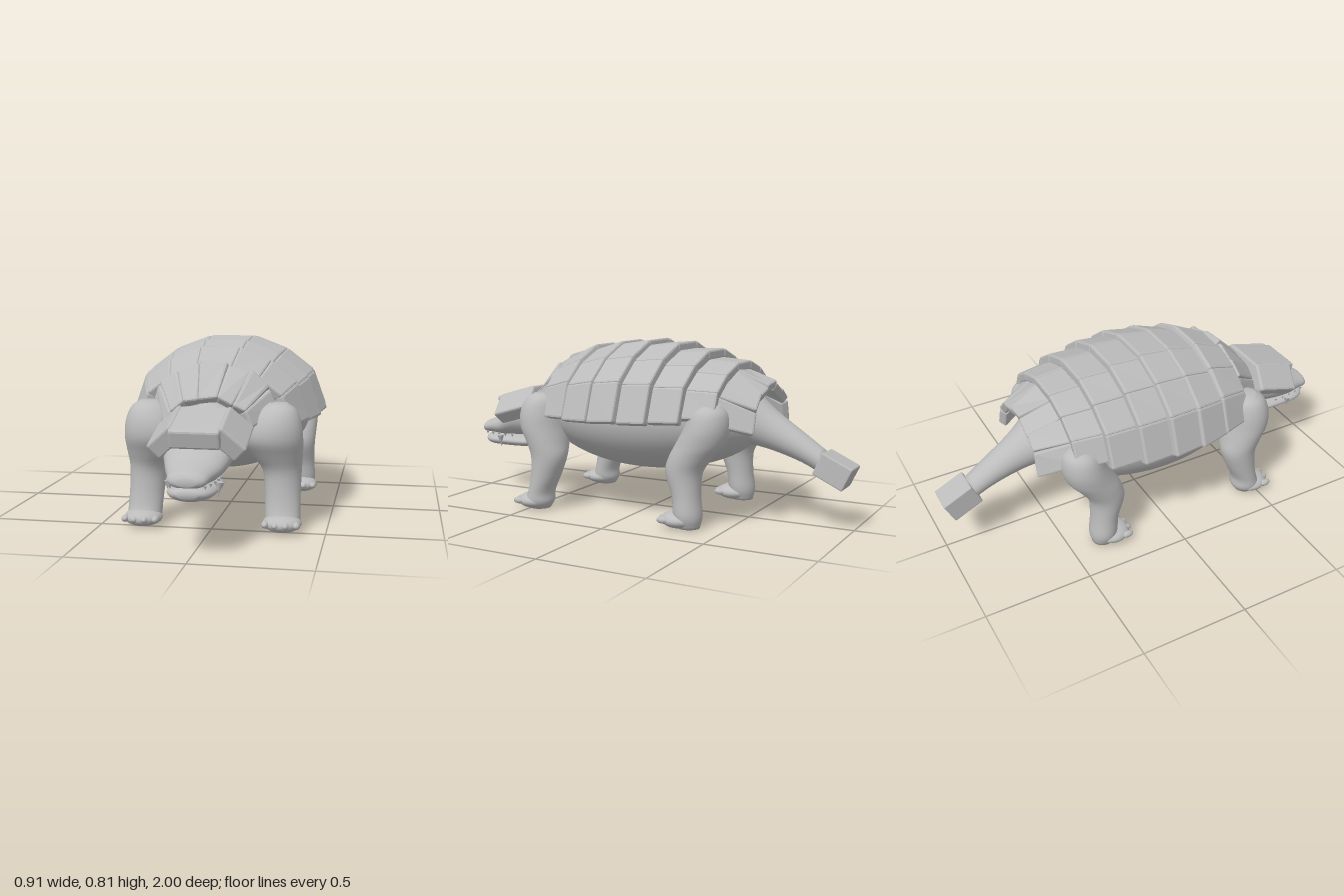
import * as THREE from 'three';
import { RoundedBoxGeometry } from 'three/addons/geometries/RoundedBoxGeometry.js';

const V = (x, y, z) => new THREE.Vector3(x, y, z);
const stone = new THREE.MeshStandardMaterial({ color: 0xbcbcbc });
stone.name = 'stone grey';

function add(parent, name, geometry, x = 0, y = 0, z = 0) {
  const mesh = new THREE.Mesh(geometry, stone);
  mesh.name = name;
  mesh.position.set(x, y, z);
  parent.add(mesh);
  return mesh;
}

// Smooth skin through sections [x, y, z, ra, rb]; axis 'z' runs back to front, 'y' top to bottom.
function loft(sections, axis, floor = null, sides = 28) {
  const steps = (sections.length - 1) * 4;
  const path = new THREE.CatmullRomCurve3(sections.map(s => V(s[0], s[1], s[2])), false, 'catmullrom');
  const size = new THREE.CatmullRomCurve3(sections.map(s => V(s[3], s[4], 0)), false, 'catmullrom');
  const pos = [], index = [];
  for (let i = -1; i <= steps + 1; i++) {
    const t = Math.min(Math.max(i / steps, 0), 1);
    const c = path.getPoint(t), r = size.getPoint(t);
    const k = i < 0 || i > steps ? 0 : 1; // closed ends
    for (let j = 0; j < sides; j++) {
      const a = j / sides * Math.PI * 2;
      const p = Math.cos(a) * r.x * k, q = Math.sin(a) * r.y * k;
      if (axis === 'y') pos.push(c.x + p, c.y, c.z + q);
      else pos.push(c.x + p, floor && c.z > 0.66 ? Math.max(c.y + q, floor) : c.y + q, c.z);
    }
  }
  for (let i = 0; i < steps + 2; i++) {
    for (let j = 0; j < sides; j++) {
      const a = i * sides + j, b = i * sides + (j + 1) % sides;
      index.push(a, b, b + sides, a, b + sides, a + sides);
    }
  }
  const g = new THREE.BufferGeometry();
  g.setAttribute('position', new THREE.Float32BufferAttribute(pos, 3));
  g.setIndex(index);
  g.computeVertexNormals();
  return g;
}

// Bevelled box with flat faces
function block(w, h, d, bevel = 0.01) {
  const g = new RoundedBoxGeometry(w, h, d, 1, bevel);
  g.computeVertexNormals();
  return g;
}

// Bevelled armour plate stretched between four outer corners: front a, b and back c, d
function plate(a, b, c, d, thick) {
  const w = a.distanceTo(b), l = a.distanceTo(c);
  const across = b.clone().sub(a).add(d).sub(c);
  const along = a.clone().sub(c).add(b).sub(d);
  const n = along.cross(across).normalize();
  const g = new RoundedBoxGeometry(w, thick, l, 1, 0.009);
  const p = g.attributes.position;
  for (let i = 0; i < p.count; i++) {
    const u = p.getX(i) / w + 0.5, v = p.getZ(i) / l + 0.5;
    const q = c.clone().lerp(d, u).lerp(a.clone().lerp(b, u), v);
    q.addScaledVector(n, p.getY(i) - thick / 2);
    p.setXYZ(i, q.x, q.y, q.z);
  }
  g.computeVertexNormals();
  return g;
}

export function createModel() {
  const model = new THREE.Group();
  model.name = 'armoured animal';

  // Body
  const body = new THREE.SphereGeometry(1, 48, 32);
  body.scale(0.385, 0.28, 0.58);
  add(model, 'body', body, 0, 0.48, 0);

  // Shell rows: front [z, half width, top, bottom], back [same], loose
  const rows = [
    [[0.575, 0.19, 0.59, 0.47], [0.43, 0.29, 0.73, 0.52], 1],
    [[0.43, 0.35, 0.71, 0.455], [0.27, 0.41, 0.785, 0.465], 0],
    [[0.28, 0.40, 0.755, 0.455], [0.12, 0.45, 0.805, 0.465], 0],
    [[0.13, 0.43, 0.79, 0.46], [-0.03, 0.462, 0.815, 0.475], 0],
    [[-0.02, 0.43, 0.79, 0.465], [-0.18, 0.445, 0.805, 0.475], 0],
    [[-0.17, 0.41, 0.77, 0.475], [-0.33, 0.415, 0.775, 0.485], 0],
    [[-0.31, 0.38, 0.735, 0.5], [-0.47, 0.35, 0.725, 0.5], 0],
    [[-0.44, 0.32, 0.70, 0.48], [-0.61, 0.23, 0.63, 0.43], 1],
  ];
  const half = [[0.22, 1], [0.57, 0.82], [0.86, 0.52], [1, 0]];
  const arc = [...half.map(([x, y]) => [-x, y]).reverse(), ...half];
  const shell = new THREE.Group();
  shell.name = 'shell';
  model.add(shell);
  rows.forEach(([front, back, loose], r) => {
    const at = (e, i, lift) => V(arc[i][0] * e[1], e[3] + arc[i][1] * (e[2] - e[3]) + lift, e[0]);
    for (let i = 0; i < arc.length - 1; i++) {
      const lift = loose * 0.012 * (i % 2 ? 1 : -1);
      const g = plate(at(front, i, -lift / 2), at(front, i + 1, lift / 2),
        at(back, i, lift), at(back, i + 1, 0), 0.045);
      add(shell, `shellPlate${r + 1}_${i + 1}`, g);
    }
  });

  // Neck, skull and snout
  add(model, 'headAndNeck', loft([
    [0, 0.46, 0.38, 0.17, 0.15], [0, 0.43, 0.53, 0.15, 0.14],
    [0, 0.405, 0.65, 0.13, 0.12], [0, 0.39, 0.75, 0.145, 0.1],
    [0, 0.345, 0.85, 0.118, 0.062], [0, 0.33, 0.93, 0.09, 0.043],
    [0, 0.322, 0.98, 0.076, 0.034], [0, 0.318, 1.0, 0.04, 0.015],
  ], 'z', 0.297));
  add(model, 'lowerJaw', loft([
    [0, 0.265, 0.66, 0.06, 0.02], [0, 0.263, 0.72, 0.1, 0.031],
    [0, 0.262, 0.88, 0.1, 0.033], [0, 0.263, 0.95, 0.08, 0.03],
    [0, 0.267, 0.985, 0.04, 0.016],
  ], 'z'));

  // Armour on the head
  const crest = new THREE.Group();
  crest.name = 'headArmour';
  crest.position.set(0, 0.49, 0.735);
  crest.rotation.x = 0.28;
  model.add(crest);
  add(crest, 'crownPlate', block(0.21, 0.08, 0.25));
  for (const s of [-1, 1]) {
    const cheek = add(crest, s > 0 ? 'leftCheekPlate' : 'rightCheekPlate',
      block(0.14, 0.08, 0.22), s * 0.13, -0.03, -0.015);
    cheek.rotation.z = -s * 0.75;
  }

  // Tail with block end
  add(model, 'tail', loft([
    [0, 0.285, -0.87, 0.055, 0.055], [0, 0.35, -0.76, 0.066, 0.066],
    [0, 0.42, -0.62, 0.088, 0.092], [0, 0.48, -0.5, 0.13, 0.13],
    [0, 0.5, -0.4, 0.16, 0.15],
  ], 'z'));
  const tip = add(model, 'tailBlock', block(0.13, 0.11, 0.152, 0.006), 0, 0.265, -0.91);
  tip.rotation.x = -0.44;

  // Legs: sections for the model's left side, mirrored by s
  const legs = {
    front: [
      [0.285, 0.56, 0.45, 0.04, 0.04], [0.28, 0.53, 0.455, 0.085, 0.08],
      [0.27, 0.47, 0.46, 0.118, 0.105], [0.265, 0.4, 0.455, 0.13, 0.112],
      [0.28, 0.33, 0.43, 0.112, 0.1], [0.3, 0.26, 0.41, 0.086, 0.088],
      [0.305, 0.17, 0.425, 0.079, 0.072], [0.308, 0.09, 0.45, 0.077, 0.06],
      [0.31, 0.04, 0.46, 0.075, 0.07], [0.31, 0.005, 0.46, 0.05, 0.05],
    ],
    back: [
      [0.28, 0.56, -0.42, 0.05, 0.05], [0.28, 0.52, -0.42, 0.09, 0.085],
      [0.28, 0.45, -0.41, 0.108, 0.102], [0.285, 0.38, -0.38, 0.103, 0.11],
      [0.295, 0.32, -0.34, 0.09, 0.1], [0.3, 0.25, -0.31, 0.08, 0.085],
      [0.305, 0.15, -0.325, 0.072, 0.065], [0.31, 0.06, -0.335, 0.072, 0.065],
      [0.31, 0.005, -0.34, 0.05, 0.05],
    ],
  };
  for (const [end, sections] of Object.entries(legs)) {
    for (const s of [-1, 1]) {
      const side = s > 0 ? 'Left' : 'Right';
      const leg = new THREE.Group();
      leg.name = `${end}${side}Leg`;
      model.add(leg);
      add(leg, 'limb', loft(sections.map(([x, ...rest]) => [s * x, ...rest]), 'y'));
      const z = end === 'front' ? 0.485 : -0.295;
      const foot = new THREE.SphereGeometry(1, 24, 16);
      foot.scale(0.085, 0.039, 0.085);
      add(leg, 'foot', foot, s * 0.31, 0.039, z);
      for (let t = 0; t < 4; t++) {
        const k = t - 1.5;
        const toe = new THREE.SphereGeometry(1, 12, 8);
        toe.scale(0.017, 0.016, 0.03);
        add(leg, 'toe', toe, s * 0.31 + k * 0.045, 0.042, z + 0.07 - Math.abs(k) * 0.012);
      }
    }
  }

  // Fangs and small teeth
  for (const s of [-1, 1]) {
    const fang = add(model, 'fang', new THREE.ConeGeometry(0.016, 0.065, 10), s * 0.1, 0.262, 0.85);
    fang.rotation.set(Math.PI, 0, s * 0.15);
    for (let i = 0; i < 5; i++) {
      const tooth = add(model, 'tooth', new THREE.ConeGeometry(0.007, 0.016, 6),
        s * (0.098 - i * i * 0.0018), 0.293, 0.78 + i * 0.045);
      tooth.rotation.x = Math.PI;
    }
  }
  return model;
}
